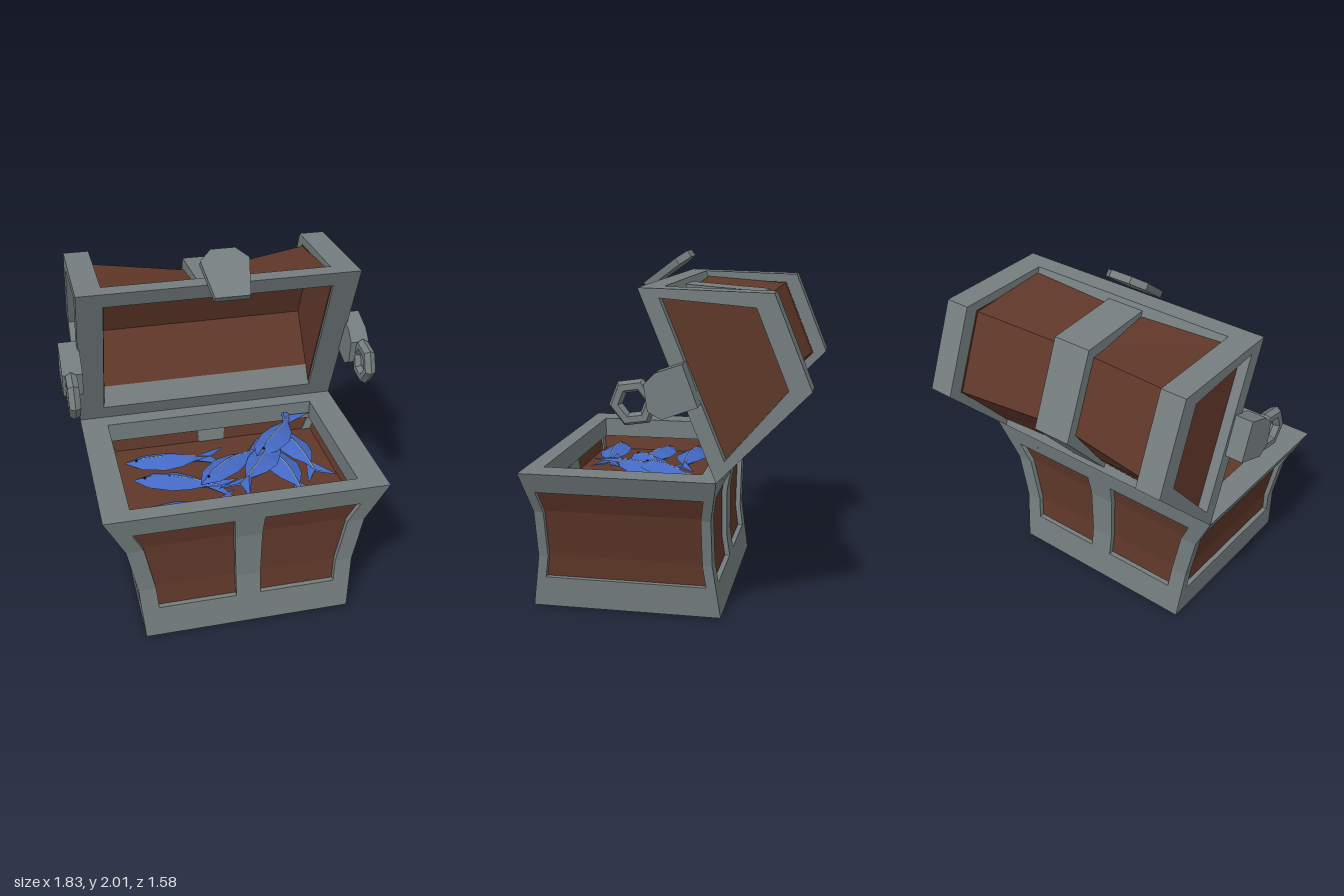
import * as THREE from 'three';

const mat = (color) => new THREE.MeshStandardMaterial({ color, flatShading: true, side: THREE.DoubleSide });
const iron = mat(0x747d7e), wood = mat(0x5f3729), blue = mat(0x4469c4), pale = mat(0xa0a4a8), dark = mat(0x151515);

const add = (parent, name, geometry, material) => {
  const mesh = new THREE.Mesh(geometry, material);
  mesh.name = name;
  parent.add(mesh);
  return mesh;
};

// Solid whose outline is given as [z, y] points and which spans x0..x1
function prism(points, x0, x1, hole) {
  const toV = (p) => p.map(([z, y]) => new THREE.Vector2(z, y));
  const shape = new THREE.Shape(toV(points));
  if (hole) shape.holes.push(new THREE.Path(toV(hole)));
  return new THREE.ExtrudeGeometry(shape, { depth: x1 - x0, bevelEnabled: false })
    .rotateY(-Math.PI / 2).translate(x1, 0, 0);
}

// Skin over a list of sections with equal point counts
function loft(sections, closed) {
  const n = sections[0].length, index = [];
  for (let i = 0; i < sections.length - 1; i++) {
    for (let j = 0; j < (closed ? n : n - 1); j++) {
      const a = i * n + j, b = i * n + (j + 1) % n;
      index.push(a, b, a + n, b, b + n, a + n);
    }
  }
  const g = new THREE.BufferGeometry();
  g.setAttribute('position', new THREE.Float32BufferAttribute(sections.flat(2), 3));
  g.setIndex(index);
  g.computeVertexNormals();
  return g;
}

// Half width and half depth of the base at its height levels
const LEVELS = [0, 0.31, 0.59, 0.84], HX = [0.605, 0.632, 0.69, 0.81], HZ = [0.545, 0.5, 0.5, 0.545];
const BASE_Z = 0.245;
function at(values, y) {
  let i = 0;
  while (i < 2 && y > LEVELS[i + 1]) i++;
  return THREE.MathUtils.lerp(values[i], values[i + 1], (y - LEVELS[i]) / (LEVELS[i + 1] - LEVELS[i]));
}

// Block bent to the base profile; x and z map (half width, half depth) to a range
function block(y0, y1, xRange, zRange) {
  const ys = [y0, ...LEVELS.filter((l) => l > y0 && l < y1), y1], n = ys.length - 1;
  const g = new THREE.BoxGeometry(1, 1, 1, 1, n, 1), p = g.attributes.position;
  for (let i = 0; i < p.count; i++) {
    const y = ys[Math.round((p.getY(i) + 0.5) * n)];
    const x = xRange(at(HX, y))[p.getX(i) > 0 ? 1 : 0];
    const z = zRange(at(HZ, y))[p.getZ(i) > 0 ? 1 : 0];
    p.setXYZ(i, x, y, z + BASE_Z);
  }
  g.computeVertexNormals();
  return g;
}
const outer = (s, inset, inner) => (h) => s > 0 ? [inner(h), h - inset] : [inset - h, -inner(h)];
const full = (inset) => (h) => [inset - h, h - inset];

function makeBase() {
  const base = new THREE.Group();
  base.name = 'base';
  for (const s of [-1, 1]) {
    // Corner posts
    for (const t of [-1, 1]) {
      add(base, 'cornerPost', block(0.17, 0.73, outer(s, 0, (h) => h - 0.1), outer(t, 0, (h) => h - 0.055)), iron);
    }
    // Lower bands and thick upper rim
    add(base, 'lowerBand', block(0, 0.18, full(0), outer(s, 0, (h) => h - 0.06)), iron);
    add(base, 'lowerSideBand', block(0, 0.18, outer(s, 0, (h) => h - 0.06), full(0.06)), iron);
    add(base, 'rim', block(0.72, 0.84, full(0), outer(s, 0, () => 0.445)), iron);
    add(base, 'sideRim', block(0.72, 0.84, outer(s, 0, () => 0.65), () => [-0.445, 0.445]), iron);
    // Middle straps on front and back
    add(base, 'middleStrap', block(0.17, 0.73, (h) => [0.005 - h * 0.115, 0.005 + h * 0.115],
      outer(s, 0, (h) => h - 0.05)), iron);
    // Recessed wooden panels
    add(base, 'panel', block(0.15, 0.75, full(0.04), outer(s, 0.03, (h) => h - 0.045)), wood);
    add(base, 'sidePanel', block(0.15, 0.75, outer(s, 0.03, (h) => h - 0.045), full(0.04)), wood);
  }
  add(base, 'floor', block(0.6, 0.63, full(0.04), full(0.04)), wood);
  return base;
}

function makeLid() {
  // Modelled closed, with the hinge at the origin, then swung open
  const lid = new THREE.Group();
  lid.name = 'lid';
  const profile = [[0, 0], [1.09, 0], [0.81, 0.64], [0.28, 0.64]];
  const window_ = [[0.095, 0.085], [1, 0.085], [0.775, 0.53], [0.325, 0.53]];
  const core = [[0.06, 0.02], [1.03, 0.02], [0.79, 0.56], [0.3, 0.56]];
  for (const s of [-1, 1]) {
    const span = (a, b) => s > 0 ? [a, b] : [-b, -a];
    add(lid, 'endFrame', prism(profile, ...span(0.66, 0.81), window_), iron);
    add(lid, 'endPanel', prism(core, ...span(0.655, 0.75)), wood);
    // Long bars at hinge and front
    const bar = [[0, 0], [0.1, 0], [0.18, 0.1], [0.044, 0.1]].map(([z, y]) => [s > 0 ? 1.09 - z : z, y]);
    add(lid, 'longBar', prism(bar, -0.665, 0.665), iron);
  }
  // Waisted outer boards and straight inner lining
  const section = (x, pts) => pts.map(([z, y]) => [x, y, z]);
  const end = [[0.07, 0.08], [0.305, 0.555], [0.785, 0.555], [1.02, 0.08]];
  const mid = [[0.1, 0.08], [0.325, 0.435], [0.765, 0.435], [0.99, 0.08]];
  const lining = [[0.17, 0.09], [0.36, 0.4], [0.73, 0.4], [0.92, 0.09]];
  add(lid, 'boards', loft([section(-0.665, end), section(0, mid), section(0.665, end)]), wood);
  add(lid, 'lining', loft([section(-0.665, lining), section(0.665, lining)]), wood);
  // Raised middle strap
  add(lid, 'lidStrap', prism([[0.04, 0.03], [0.28, 0.512], [0.81, 0.512], [1.05, 0.03],
    [0.98, 0.03], [0.755, 0.43], [0.335, 0.43], [0.11, 0.03]], -0.11, 0.125), iron);
  lid.position.set(0, 0.84, -0.3);
  lid.rotation.x = -1.185;
  return lid;
}

function makeLatch() {
  const shape = new THREE.Shape([[-0.1, 0], [0.1, 0], [0.14, 0.24], [0.07, 0.31], [-0.07, 0.31], [-0.14, 0.24]]
    .map(([x, y]) => new THREE.Vector2(x, y)));
  const latch = new THREE.Mesh(new THREE.ExtrudeGeometry(shape, { depth: 0.042, bevelEnabled: false }), iron);
  latch.name = 'latch';
  latch.position.set(0.03, 1.79, 0.21);
  latch.rotation.x = -0.94;
  return latch;
}

function makeHandle(side) {
  const handle = new THREE.Group();
  handle.name = side > 0 ? 'leftHandle' : 'rightHandle';
  const mount = [[-0.14, 1.48], [-0.22, 1.26], [-0.03, 1.19], [0.04, 1.23], [0.06, 1.37], [0, 1.43]];
  add(handle, 'mount', side > 0 ? prism(mount, 0.8, 0.91) : prism(mount, -0.915, -0.8), iron);
  const ring = add(handle, 'ring', new THREE.TorusGeometry(0.097, 0.037, 6, 6).rotateZ(0.15).rotateY(Math.PI / 2), iron);
  ring.position.set(side * 0.866, 1.27, 0.12);
  if (side < 0) handle.position.z = 0.025;
  return handle;
}

// Fish lying flat, nose at (x, z), tail toward (tx, tz), sideways bend
function makeFish([x, z, tx, tz, y, bend]) {
  const fish = new THREE.Group();
  fish.name = 'fish';
  // Stations: length, half width, half thickness, tail sweep
  const stations = [[0, 0.005, 0.004, 0], [0.1, 0.075, 0.035, 0], [0.24, 0.095, 0.045, 0],
    [0.34, 0.07, 0.035, 0], [0.43, 0.02, 0.02, 0], [0.52, 0.1, 0.006, 0.09]];
  const curve = (l) => bend * (l - 0.25) ** 2;
  add(fish, 'body', loft(stations.map(([l, w, h, sweep]) => [
    [l, h, curve(l)], [l + sweep, 0, curve(l) + w], [l, -h, curve(l)], [l + sweep, 0, curve(l) - w],
  ]), true), blue);
  const ridge = new THREE.CurvePath();
  const pts = stations.slice(1).map(([l, , h]) => new THREE.Vector3(l, h, curve(l)));
  for (let i = 1; i < pts.length; i++) ridge.add(new THREE.LineCurve3(pts[i - 1], pts[i]));
  add(fish, 'ridge', new THREE.TubeGeometry(ridge, 16, 0.004, 4), pale);
  for (const s of [-1, 1]) {
    add(fish, 'eye', new THREE.IcosahedronGeometry(0.009, 0), dark).position.set(0.065, s * 0.022, curve(0.065) + 0.006);
  }
  fish.position.set(x, y, z);
  fish.rotation.y = -Math.atan2(tz - z, tx - x);
  return fish;
}

export function createModel() {
  const chest = new THREE.Group();
  chest.name = 'chest';
  chest.add(makeBase(), makeLid(), makeLatch(), makeHandle(1), makeHandle(-1));
  const catchOfFish = [
    [-0.6, 0.56, 0, 0.54, 0.68, -0.3], [-0.55, 0.18, 0.02, 0.38, 0.68, 0.3],
    [-0.2, 0.36, 0.3, 0.02, 0.72, 0.4], [0.36, 0.06, -0.03, 0.58, 0.74, 0.4],
    [0.2, 0.25, 0.52, -0.15, 0.77, -0.3], [0.3, 0.02, 0.42, 0.58, 0.68, 0.4],
    [0.42, -0.17, 0.54, 0.33, 0.68, 0.3], [-0.58, 0.02, 0.03, 0.07, 0.68, -0.2],
  ];
  catchOfFish.forEach((f) => chest.add(makeFish(f)));
  return chest;
}
